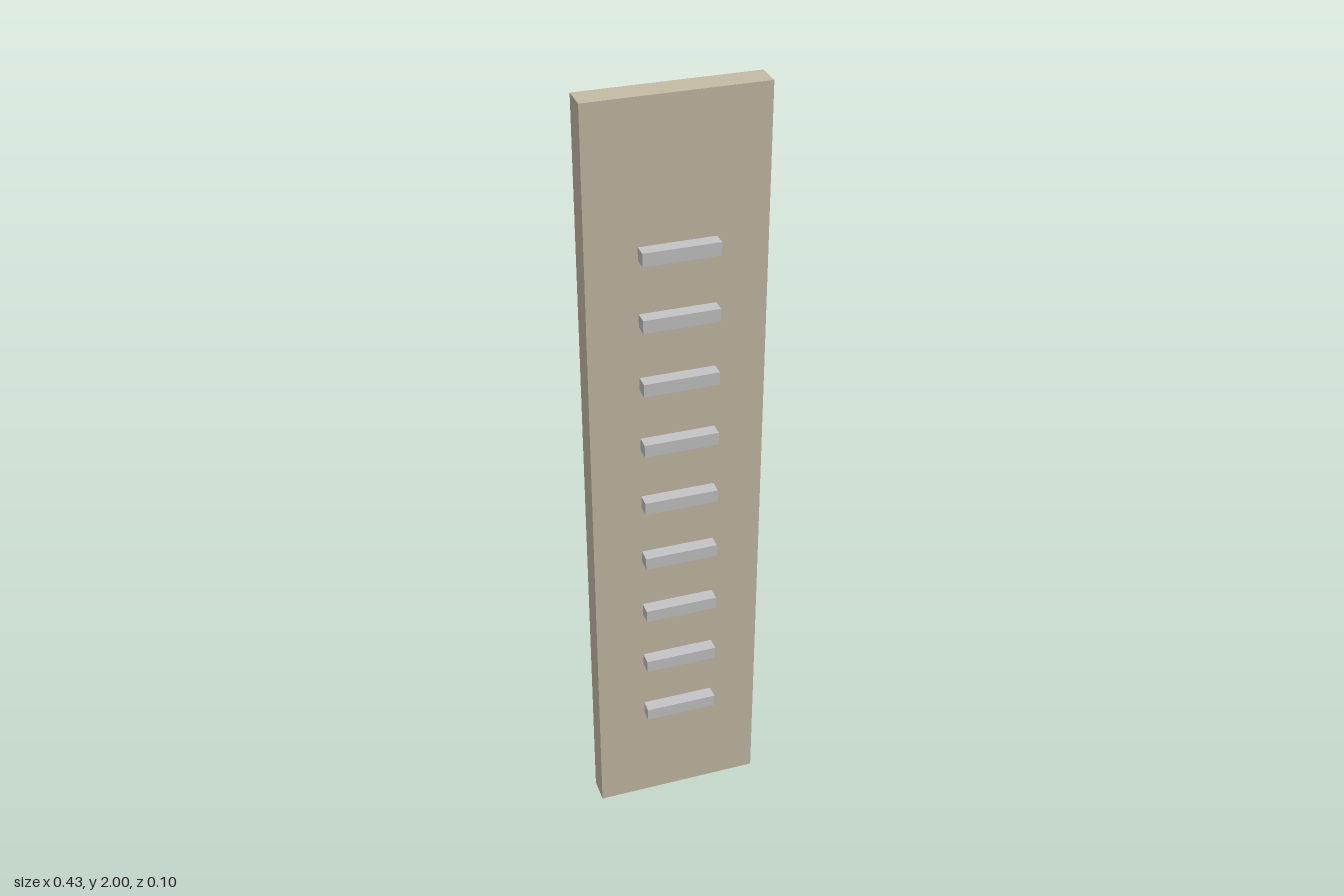
import * as THREE from 'three';

export function createModel() {
  const group = new THREE.Group();
  const tan = new THREE.MeshStandardMaterial({ name: 'tan', color: 0xc4bba4 });
  const lightGrey = new THREE.MeshStandardMaterial({ name: 'lightGrey', color: 0xc4c4c6 });

  const addBox = (name, size, position, material) => {
    const mesh = new THREE.Mesh(new THREE.BoxGeometry(...size), material);
    mesh.name = name;
    mesh.position.set(...position);
    group.add(mesh);
  };

  // Upright slab
  addBox('slab', [0.434, 2, 0.066], [0, 1, -0.017], tan);

  // Evenly spaced rungs, seated on the front of the slab
  const rungCount = 9;
  const rungSpacing = 0.167;
  for (let i = 0; i < rungCount; i++) {
    addBox(`rung${i + 1}`, [0.186, 0.033, 0.034], [0, 0.302 + i * rungSpacing, 0.033], lightGrey);
  }

  return group;
}
